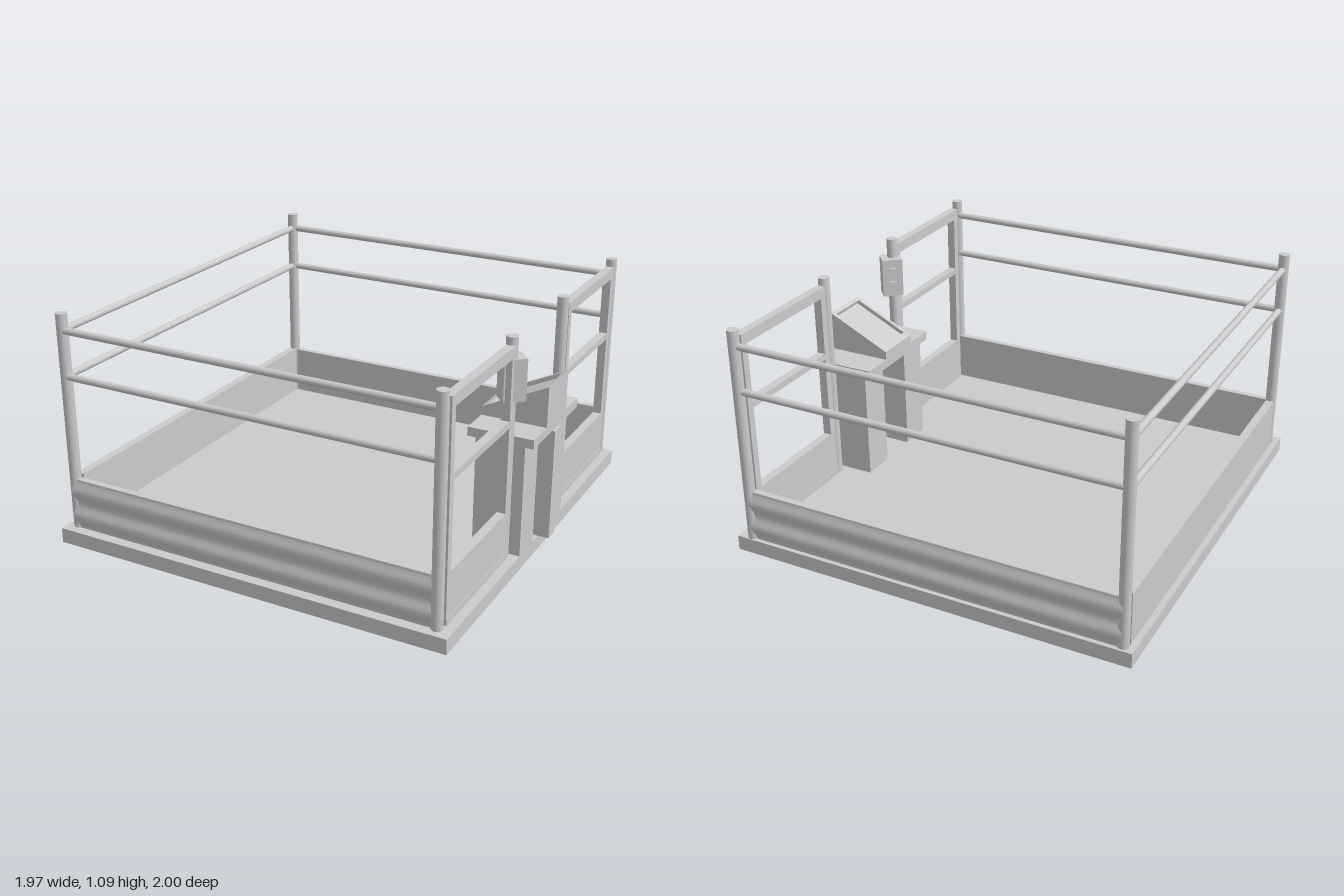
import * as THREE from 'three';

export function createModel() {
  const model = new THREE.Group();
  const mat = new THREE.MeshStandardMaterial({ color: 0xcccccc });

  const add = (name, geometry, parent = model) => {
    const mesh = new THREE.Mesh(geometry, mat);
    mesh.name = name;
    parent.add(mesh);
    return mesh;
  };
  // Box given by its limits on each axis
  const box = (name, x0, x1, y0, y1, z0, z1) =>
    add(name, new THREE.BoxGeometry(x1 - x0, y1 - y0, z1 - z0))
      .position.set((x0 + x1) / 2, (y0 + y1) / 2, (z0 + z1) / 2);
  // Round bar between two points
  const bar = (name, a, b, r) => {
    const from = new THREE.Vector3(...a), to = new THREE.Vector3(...b);
    const dir = to.clone().sub(from);
    const mesh = add(name, new THREE.CylinderGeometry(r, r, dir.length(), 20));
    mesh.position.copy(from).add(to).multiplyScalar(0.5);
    mesh.quaternion.setFromUnitVectors(new THREE.Vector3(0, 1, 0), dir.normalize());
  };
  const shapeOf = (points) => new THREE.Shape(points.map(([x, y]) => new THREE.Vector2(x, y)));
  const extrude = (shape, depth) =>
    new THREE.ExtrudeGeometry(shape, { depth, bevelEnabled: false });

  const floor = 0.07, left = 0.862, right = -0.933;
  const frontZ = 0.94, backZ = -0.968;

  // Platform
  box('platform', -0.985, 0.93, 0, floor, -1, 1);

  // Posts: four corners and two beside the console
  for (const [x, z] of [[left, 0.945], [right, 0.935], [left, -0.97], [right, -0.965]])
    bar('cornerPost', [x, floor, z], [x, 1.085, z], 0.026);
  for (const z of [0.284, -0.304])
    bar('innerPost', [left, floor, z], [left, 1.085, z], 0.026);

  // Hand rails on the front, back and right sides
  for (const y of [1.008, 0.797]) {
    bar('frontRail', [right, y, frontZ], [left, y, frontZ], 0.016);
    bar('backRail', [right, y, backZ], [left, y, backZ], 0.016);
    bar('rightRail', [right, y, backZ], [right, y, frontZ], 0.016);
  }

  // Corrugated kick boards: flat inside, two rounded ridges outside
  const profile = [[-0.018, floor], [0.012, floor]];
  for (let i = 1; i < 20; i++) {
    const t = i / 20;
    profile.push([0.012 + 0.016 * Math.sin(2 * Math.PI * t) ** 2, floor + 0.24 * t]);
  }
  profile.push([0.012, 0.31], [-0.018, 0.31]);
  const length = left - right;
  for (const [name, z, side] of [['frontKickBoard', frontZ, 1], ['backKickBoard', backZ, -1]]) {
    const board = add(name, extrude(shapeOf(profile), length));
    board.rotation.y = -side * Math.PI / 2;
    board.position.set(side > 0 ? left : right, 0, z);
  }
  box('rightKickBoard', -0.957, -0.917, floor, 0.315, -0.945, 0.9);

  // Side frames with two openings above a solid lower panel
  const sideFrame = (name, z0, z1) => {
    const s = shapeOf([[z0, floor], [z1, floor], [z1, 1.05], [z0, 1.05]]);
    for (const [y0, y1] of [[0.3, 0.695], [0.725, 1.0]]) {
      s.holes.push(new THREE.Path([
        [z0 + 0.035, y0], [z0 + 0.035, y1], [z1 - 0.035, y1], [z1 - 0.035, y0],
      ].map(([x, y]) => new THREE.Vector2(x, y))));
    }
    const frame = add(name, extrude(s, 0.04));
    frame.rotation.y = -Math.PI / 2; // shape x runs along z
    frame.position.x = 0.885;
    box(name + 'Sill', 0.843, 0.888, floor, 0.1, z0, z1);
  };
  sideFrame('frontSideFrame', 0.295, 0.912);
  sideFrame('backSideFrame', -0.94, -0.325);

  // Console: two pedestals, a centre column and a table
  box('consoleLeg', 0.705, 0.93, floor, 0.59, 0.1, 0.255);
  box('consoleLeg', 0.705, 0.93, floor, 0.59, -0.25, -0.092);
  box('consoleColumn', 0.85, 0.982, floor, 0.59, -0.03, 0.04);
  box('consoleTable', 0.667, 0.97, 0.59, 0.632, -0.268, 0.26);

  // Sloping desk with a sunken screen
  const cheek = shapeOf([[0.667, 0.632], [0.97, 0.632], [0.97, 0.818], [0.667, 0.672]]);
  const middle = shapeOf([
    [0.667, 0.632], [0.97, 0.632], [0.97, 0.818], [0.95, 0.808],
    [0.957, 0.791], [0.702, 0.668], [0.695, 0.685], [0.667, 0.672],
  ]);
  for (const [name, shape, z, depth] of [
    ['deskCheek', cheek, -0.118, 0.018],
    ['deskScreen', middle, -0.1, 0.195],
    ['deskCheek', cheek, 0.095, 0.018],
  ]) add(name, extrude(shape, depth)).position.z = z;

  // Push-button box turned diagonally on the front inner post
  const control = new THREE.Group();
  control.name = 'buttonBox';
  control.position.set(0.862, 0.897, 0.268);
  control.rotation.y = Math.atan2(-0.65, -0.76);
  add('buttonHousing', new THREE.BoxGeometry(0.1, 0.188, 0.09), control);
  for (const y of [0.035, -0.035])
    add('button', new THREE.BoxGeometry(0.035, 0.035, 0.02), control).position.set(0, y, 0.047);
  model.add(control);

  return model;
}
